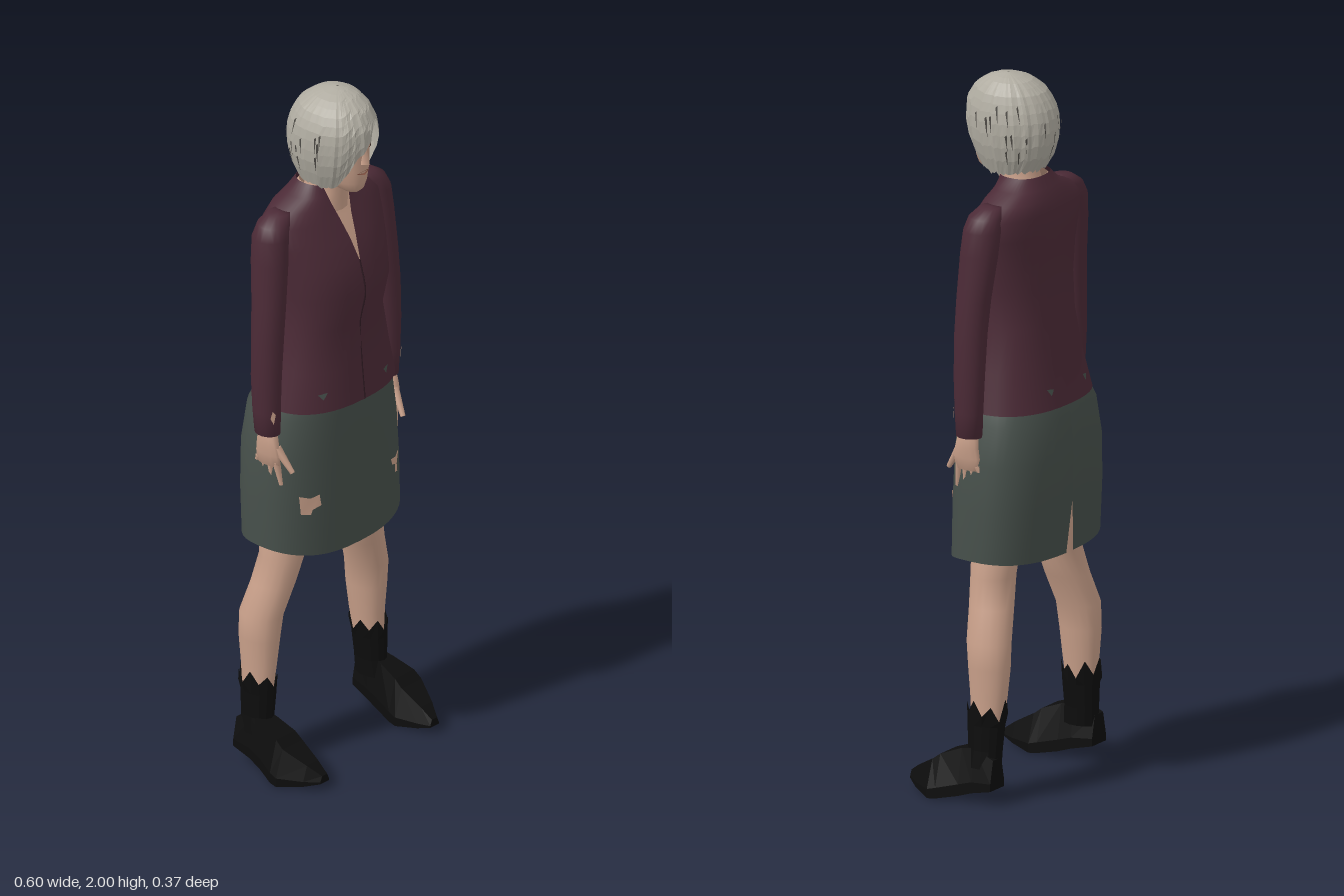
import * as THREE from 'three';

const hash = (i) => { const s = Math.sin(i * 12.9898 + 4.1) * 43758.5453; return s - Math.floor(s); };
const mat = (name, color) => new THREE.MeshStandardMaterial({ name, color, side: THREE.DoubleSide });
const pow = (v, n) => Math.sign(v) * Math.pow(Math.abs(v), 2 / n);

// A ring is [y, centreX, halfWidth, zFront, zBack, openingHalfWidth]
const pt = ([y, cx, rx, zf, zb], a, n) => new THREE.Vector3(
  cx + rx * pow(Math.sin(a), n), y, (zf + zb) / 2 + (zf - zb) / 2 * pow(Math.cos(a), n));

// Ring interpolated at height y
function ringAt(rings, y) {
  let i = 0;
  while (i < rings.length - 2 && rings[i + 1][0] < y) i++;
  const a = rings[i], b = rings[i + 1];
  const t = THREE.MathUtils.clamp((y - a[0]) / (b[0] - a[0]), 0, 1);
  return [0, 1, 2, 3, 4].map((k) => a[k] + (b[k] - a[k]) * t);
}

// Skin over rows of points
function skin(rows, closed, cap) {
  const m = rows[0].length, pos = [], idx = [];
  rows.forEach((r) => r.forEach((p) => pos.push(p.x, p.y, p.z)));
  for (let i = 0; i < rows.length - 1; i++) for (let j = 0; j < (closed ? m : m - 1); j++) {
    const k = (j + 1) % m, a = i * m + j, b = i * m + k, c = b + m, d = a + m;
    idx.push(a, b, c, a, c, d);
  }
  if (cap) [0, rows.length - 1].forEach((r) => {
    const c = rows[r].reduce((s, p) => s.add(p), new THREE.Vector3()).divideScalar(m);
    const q = pos.length / 3;
    pos.push(c.x, c.y, c.z);
    for (let j = 0; j < m; j++) {
      const a = r * m + j, b = r * m + (j + 1) % m;
      if (r) idx.push(q, a, b); else idx.push(q, b, a);
    }
  });
  const g = new THREE.BufferGeometry();
  g.setAttribute('position', new THREE.Float32BufferAttribute(pos, 3));
  g.setIndex(idx);
  g.computeVertexNormals();
  return g;
}

// Loft through rings; open lofts have a slit at the start angle
function loft(rings, { n = 2, seg = 24, open = false, start = 0, cap = false, tweak } = {}) {
  return skin(rings.map((r, i) => {
    const g = open ? Math.asin(Math.pow((r[5] || 0) / r[2], n / 2)) : 0;
    return Array.from({ length: open ? seg + 1 : seg }, (_, j) => {
      const a = start + g + (Math.PI * 2 - 2 * g) * j / seg;
      const p = pt(r, a, n);
      if (tweak) tweak(p, a, i, j);
      return p;
    });
  }), !open, cap);
}

function flat(g) {
  const f = g.toNonIndexed();
  f.computeVertexNormals();
  return f;
}

function mirror(g) {
  const c = g.clone(), ix = c.index.array;
  c.scale(-1, 1, 1);
  for (let i = 0; i < ix.length; i += 3) [ix[i], ix[i + 1]] = [ix[i + 1], ix[i]];
  c.computeVertexNormals();
  return c;
}

// Tapered rod between two points
function rod(a, b, r0, r1) {
  const A = new THREE.Vector3(...a), B = new THREE.Vector3(...b), d = B.clone().sub(A);
  const g = new THREE.CylinderGeometry(r1, r0, d.length(), 7);
  g.applyQuaternion(new THREE.Quaternion().setFromUnitVectors(new THREE.Vector3(0, 1, 0), d.normalize()));
  const c = A.add(B).multiplyScalar(0.5);
  return g.translate(c.x, c.y, c.z);
}

// Thin plate laid on the front (dir 1) or back (dir -1) of a loft
function patch(rings, n, pts, dir = 1) {
  const g = new THREE.ShapeGeometry(new THREE.Shape(pts.map((p) => new THREE.Vector2(...p))));
  const p = g.attributes.position;
  for (let i = 0; i < p.count; i++) {
    const [, cx, rx, zf, zb] = ringAt(rings, p.getY(i));
    const u = Math.min(1, Math.abs((p.getX(i) - cx) / rx));
    const h = Math.pow(1 - Math.pow(u, n), 1 / n) * (zf - zb) / 2;
    p.setZ(i, (zf + zb) / 2 + dir * (h + 0.004));
  }
  if (dir < 0) for (let i = 0, x = g.index.array; i < x.length; i += 3) [x[i], x[i + 1]] = [x[i + 1], x[i]];
  g.computeVertexNormals();
  return g;
}

export function createModel() {
  const root = new THREE.Group();
  const skinM = mat('skin', 0xc9a08a), jacketM = mat('plum cloth', 0x4b2a36), skirtM = mat('grey green cloth', 0x464f4a);
  const bootM = mat('black leather', 0x0d0d0d), hairM = mat('grey hair', 0xb0aca1), seamM = mat('dark seam', 0x2c1820);
  const strandM = mat('hair shadow', 0x4d4a45), eyeM = mat('eye brown', 0x3f2d26), lipM = mat('lip', 0x96614f);
  const add = (name, g, m) => { const o = new THREE.Mesh(g, m); o.name = name; root.add(o); };
  const pair = (name, g, m, fin = (x) => x) => {
    add('left ' + name, fin(g), m);
    add('right ' + name, fin(mirror(g)), m);
  };

  // Jacket body with a V neck, and the chest beneath it
  const torso = [
    [1.09, 0, .213, .133, -.174], [1.2, 0, .188, .122, -.15], [1.32, 0, .163, .115, -.135], [1.42, 0, .172, .135, -.126],
    [1.51, 0, .18, .114, -.126, .001], [1.57, 0, .19, .09, -.128, .011], [1.63, 0, .197, .06, -.126, .024],
    [1.665, 0, .16, .045, -.116, .034], [1.69, 0, .105, .036, -.103, .04], [1.722, 0, .072, .032, -.086, .048]];
  add('jacket', loft(torso, { n: 2.4, seg: 40, open: true }), jacketM);
  add('chest', loft(torso.slice(4).map(([y, c, r, f, b]) => [y - .006, c, r - .008, f - .006, b + .008]), { n: 2.4, seg: 40 }), skinM);
  const seam = torso.slice(0, 5).map((r) => new THREE.Vector3(0, r[0], r[3]));
  add('jacket seam', new THREE.TubeGeometry(new THREE.CatmullRomCurve3(seam), 16, .0025, 5), seamM);

  // Sleeves
  const sleeve = [
    [1.03, .233, .032, .03, -.046], [1.1, .236, .035, .032, -.05], [1.2, .236, .038, .035, -.055], [1.32, .23, .042, .036, -.058],
    [1.42, .221, .044, .035, -.064], [1.54, .209, .046, .032, -.078], [1.61, .2, .05, .026, -.08],
    [1.645, .187, .045, .018, -.074], [1.668, .165, .032, .0, -.06]];
  pair('sleeve', loft(sleeve, { cap: true, seg: 18 }), jacketM);

  // Hands
  const palm = [[.935, .233, .013, .036, -.046], [.97, .236, .017, .04, -.045], [1.0, .237, .019, .034, -.04], [1.05, .234, .022, .02, -.033]];
  pair('palm', loft(palm, { cap: true, seg: 12 }), skinM);
  [[.024, .036, .88], [.003, .008, .862], [-.018, -.024, .868], [-.037, -.058, .89]].forEach(([z0, z1, y], i) => {
    pair('finger ' + (i + 1), rod([.234, .95, z0], [.226, y, z1], .011, .006), skinM);
  });
  pair('thumb', rod([.232, .99, .025], [.218, .925, .07], .013, .007), skinM);

  // Skirt with a back slit and a dipping front hem
  const skirt = [
    [.68, 0, .25, .116, -.174], [.82, 0, .248, .115, -.183], [.95, 0, .24, .113, -.187],
    [1.06, 0, .22, .112, -.178], [1.13, 0, .19, .108, -.152]];
  skirt[0][5] = .016;
  add('skirt', loft(skirt, { n: 2.5, seg: 44, open: true, start: Math.PI, tweak: (p, a, i) => {
    if (i === 0) p.y -= Math.cos(a) > 0 ? .032 * Math.cos(a) ** 2 : .01 * Math.cos(a) ** 2;
  } }), skirtM);

  // Torn places
  const tear = (name, rings, n, m, pts, dir) => add(name, patch(rings, n, pts, dir), m);
  tear('right skirt tear', skirt, 2.5, skinM, [[-.195, .79], [-.17, .785], [-.165, .8], [-.14, .808], [-.145, .842], [-.17, .835], [-.198, .845]]);
  tear('left skirt tear', skirt, 2.5, skinM, [[.155, .79], [.172, .785], [.168, .81], [.185, .845], [.16, .835], [.133, .84], [.14, .82], [.155, .815]]);
  [[-.135, 1], [.095, 1], [-.095, -1], [.07, -1]].forEach(([x, d], i) => {
    tear('jacket hem tear ' + (i + 1), torso, 2.4, skirtM, [[x, 1.128], [x + .013, 1.148], [x - .012, 1.144]], d);
  });
  pair('cuff tear', patch(sleeve, 2, [[.25, 1.07], [.258, 1.09], [.254, 1.112], [.246, 1.1]]), skinM);

  // Legs
  pair('leg', loft([
    [.15, .222, .032, -.015, -.098], [.22, .218, .035, -.01, -.105], [.3, .213, .041, -.003, -.114], [.38, .211, .049, .004, -.121],
    [.45, .207, .054, .01, -.12], [.54, .175, .058, .023, -.104], [.62, .152, .063, .032, -.092], [.85, .115, .078, .045, -.11]],
  { seg: 18, cap: true }), skinM);

  // Boots: ragged shaft and angular shoe
  pair('boot shaft', loft([[.1, .226, .039, .005, -.103], [.15, .223, .038, -.003, -.105], [.22, .219, .042, 0, -.11], [.265, .218, .047, .002, -.117]],
    { seg: 14, tweak: (p, a, i, j) => { if (i === 3) p.y += (hash(j) - .5) * .03 + (j % 2 ? .018 : -.018); } }), bootM, flat);
  const shoe = [
    [-.102, .236, .032, .045, .13], [-.04, .231, .039, .03, .155], [0, .231, .044, .016, .148], [.06, .235, .062, .003, .124],
    [.085, .235, .065, 0, .105], [.15, .225, .037, .01, .068], [.187, .217, .017, .02, .042]];
  const section = [[-1, 0], [1, 0], [1, .25], [.6, 1], [-.6, 1], [-1, .25]];
  pair('shoe', skin(shoe.map(([z, cx, rx, y0, y1]) => section.map(([u, v]) => new THREE.Vector3(cx + u * rx, y0 + v * (y1 - y0), z))),
    true, true), bootM, flat);

  // Neck, head and face
  add('neck', loft([[1.64, 0, .075, .05, -.09], [1.69, 0, .053, .048, -.075], [1.73, 0, .047, .055, -.065], [1.8, 0, .05, .06, -.06]], { seg: 18 }), skinM);
  const head = [
    [1.716, 0, .02, .108, .05], [1.728, 0, .035, .121, .01], [1.75, 0, .05, .127, -.03], [1.79, 0, .062, .131, -.06], [1.83, 0, .069, .13, -.08],
    [1.87, 0, .072, .133, -.085], [1.91, 0, .071, .133, -.08], [1.95, 0, .055, .1, -.06], [1.975, 0, .03, .06, -.02]];
  add('head', loft(head, { cap: true, n: 2.1 }), skinM);
  const nose = new THREE.ConeGeometry(.017, .06, 4);
  nose.translate(0, 1.843, .134);
  add('nose', nose, skinM);
  pair('eye', patch(head, 2.1, [[.018, 1.853], [.033, 1.85], [.046, 1.855], [.033, 1.861]]), eyeM);
  pair('eyebrow', patch(head, 2.1, [[.014, 1.873], [.034, 1.881], [.05, 1.875], [.034, 1.885]]), strandM);
  add('mouth', patch(head, 2.1, [[-.026, 1.783], [0, 1.776], [.024, 1.783], [.006, 1.791], [-.006, 1.791]]), lipM);

  // Bob hair: ridged locks hanging to an edge that sweeps over the brow
  const bob = [
    [1.72, 0, .078, .09, -.07], [1.77, 0, .097, .122, -.105], [1.82, 0, .109, .141, -.119], [1.87, 0, .112, .149, -.122], [1.92, 0, .104, .144, -.108],
    [1.96, .004, .085, .118, -.082], [1.985, .01, .055, .08, -.046], [1.996, .014, .028, .046, -.012], [2.0, .016, .003, .02, .014]];
  const edge = [[-180, 1.74], [-45, 1.735], [-37, 1.75], [-19, 1.83], [2, 1.88], [27, 1.935], [40, 1.87], [53, 1.74], [70, 1.73], [180, 1.74]];
  const edgeAt = (deg) => {
    const i = Math.max(1, edge.findIndex((e) => e[0] >= deg)), [a, b] = [edge[i - 1], edge[i]];
    return a[1] + (b[1] - a[1]) * (deg - a[0]) / (b[0] - a[0]);
  };
  const onHair = (a, y, k) => {
    const p = pt(ringAt(bob, y), a, 2);
    return p.set(p.x * k, y, (p.z - .015) * k + .015);
  };
  const cols = 80, rows = 12, hairRows = [];
  for (let i = 0; i <= rows; i++) hairRows.push(Array.from({ length: cols }, (_, j) => {
    const a = -Math.PI + Math.PI * 2 * j / cols;
    const e = edgeAt(THREE.MathUtils.radToDeg(a)) - .014 * (hash(j) - .5);
    return onHair(a, 2 - (2 - e) * (1 - i / rows) ** 2, 1 + .03 * (hash(j + 200) - .5));
  }));
  add('hair', flat(skin(hairRows, true, false)), hairM);

  // Dark gaps between locks
  const gaps = [];
  for (let k = 0; k < 30; k++) {
    const a = 1.15 + hash(k + 50) * 3.98, y = 1.79 + hash(k + 90) * .14;
    [[a - .022, y], [a + .02, y - .045], [a + .024, y + .006]].forEach(([t, h]) => gaps.push(...onHair(t, h, 1.022).toArray()));
  }
  const gapG = new THREE.BufferGeometry();
  gapG.setAttribute('position', new THREE.Float32BufferAttribute(gaps, 3));
  gapG.computeVertexNormals();
  add('hair gaps', gapG, strandM);
  return root;
}
